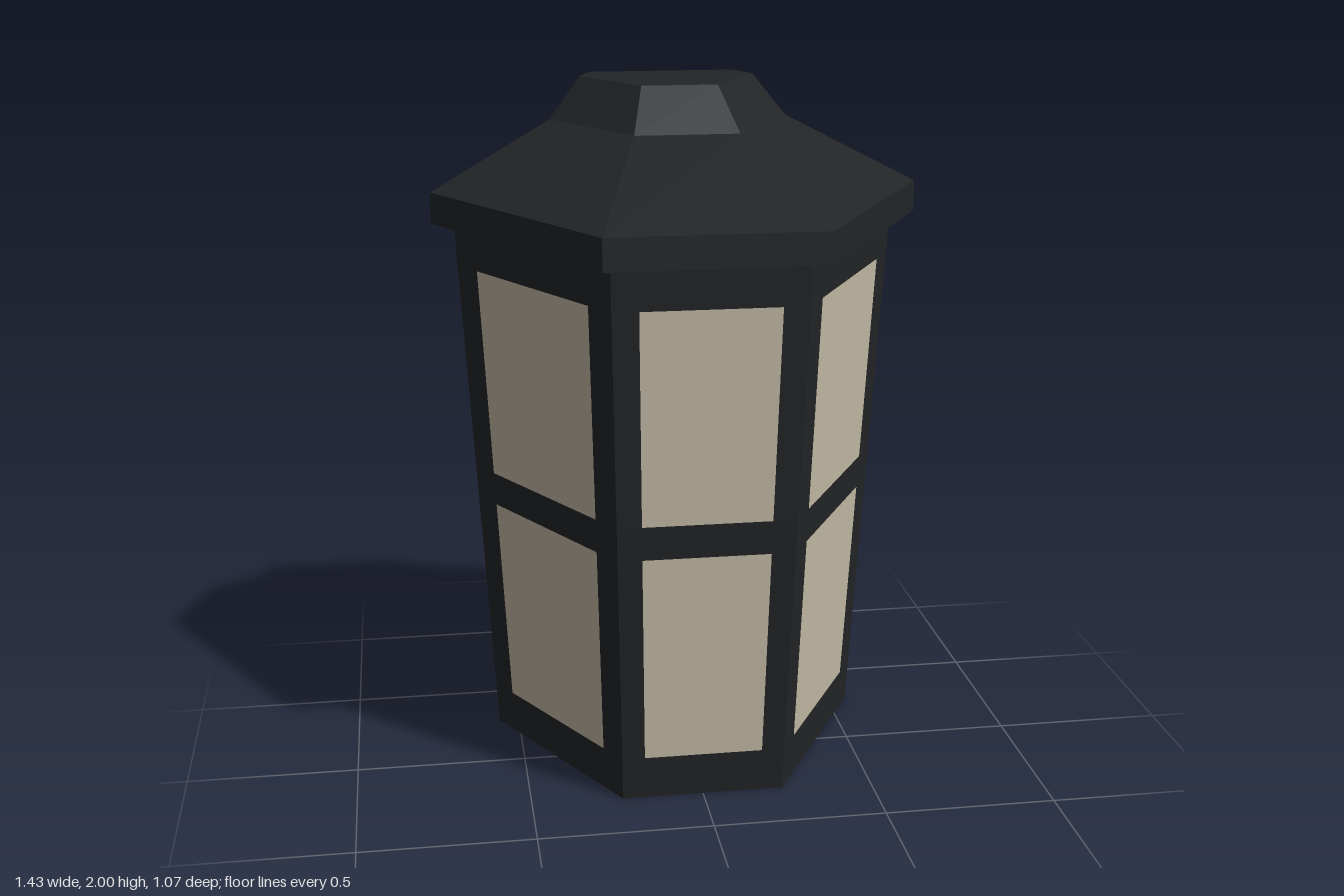
import * as THREE from 'three';

const BACK = -0.535;

// Half-hexagon outline cut flat at the wall, counter-clockwise from above
function ring(y, frontX, frontZ, sideX, sideZ, backX) {
  return [
    [-frontX, frontZ], [frontX, frontZ], [sideX, sideZ],
    [backX, BACK], [-backX, BACK], [-sideX, sideZ],
  ].map(([x, z]) => new THREE.Vector3(x, y, z));
}

function addQuad(out, a, b, c, d) {
  out.push(a, b, c, a, c, d);
}

function addCap(out, r, up) {
  for (let i = 1; i < r.length - 1; i++) {
    if (up) out.push(r[0], r[i], r[i + 1]);
    else out.push(r[0], r[i + 1], r[i]);
  }
}

function makeMesh(name, points, color) {
  const geometry = new THREE.BufferGeometry().setFromPoints(points);
  geometry.computeVertexNormals();
  const material = new THREE.MeshStandardMaterial({ color, flatShading: true });
  const mesh = new THREE.Mesh(geometry, material);
  mesh.name = name;
  return mesh;
}

export function createModel() {
  const group = new THREE.Group();
  group.name = 'wallLantern';
  const metal = 0x222426;
  const glass = 0xc8bda9;

  // Tapered body: every face but the back is a frame around two panes
  const low = ring(0, 0.235, 0.3, 0.56, -0.28, 0.468);
  const high = ring(1.61, 0.27, 0.44, 0.65, -0.24, 0.544);
  const us = [0, 0.138, 0.862, 1];
  const vs = [0, 0.081, 0.472, 0.534, 0.919, 1];
  const frame = [];
  const panes = [];
  for (let f = 0; f < 6; f++) {
    const n = (f + 1) % 6;
    if (f === 3) {
      addQuad(frame, low[f], low[n], high[n], high[f]);
      continue;
    }
    const at = (i, j) => low[f].clone().lerp(low[n], us[i])
      .lerp(high[f].clone().lerp(high[n], us[i]), vs[j]);
    for (let i = 0; i < 3; i++) {
      for (let j = 0; j < 5; j++) {
        const isPane = i === 1 && (j === 1 || j === 3);
        addQuad(isPane ? panes : frame, at(i, j), at(i + 1, j), at(i + 1, j + 1), at(i, j + 1));
      }
    }
  }
  addCap(frame, low, false);
  group.add(makeMesh('bodyFrame', frame, metal));
  group.add(makeMesh('glassPanes', panes, glass));

  // Roof: vertical eave, shallow slope, steep cap
  const rings = [
    ring(1.61, 0.3, 0.535, 0.715, -0.215, 0.6),
    ring(1.7, 0.3, 0.535, 0.715, -0.215, 0.6),
    ring(1.88, 0.15, 0, 0.355, -0.38, 0.3),
    ring(2, 0.11, -0.15, 0.26, -0.42, 0.22),
  ];
  const roof = [];
  for (let k = 0; k < rings.length - 1; k++) {
    for (let f = 0; f < 6; f++) {
      const n = (f + 1) % 6;
      addQuad(roof, rings[k][f], rings[k][n], rings[k + 1][n], rings[k + 1][f]);
    }
  }
  addCap(roof, rings[0], false);
  addCap(roof, rings[3], true);
  group.add(makeMesh('roof', roof, metal));

  return group;
}
